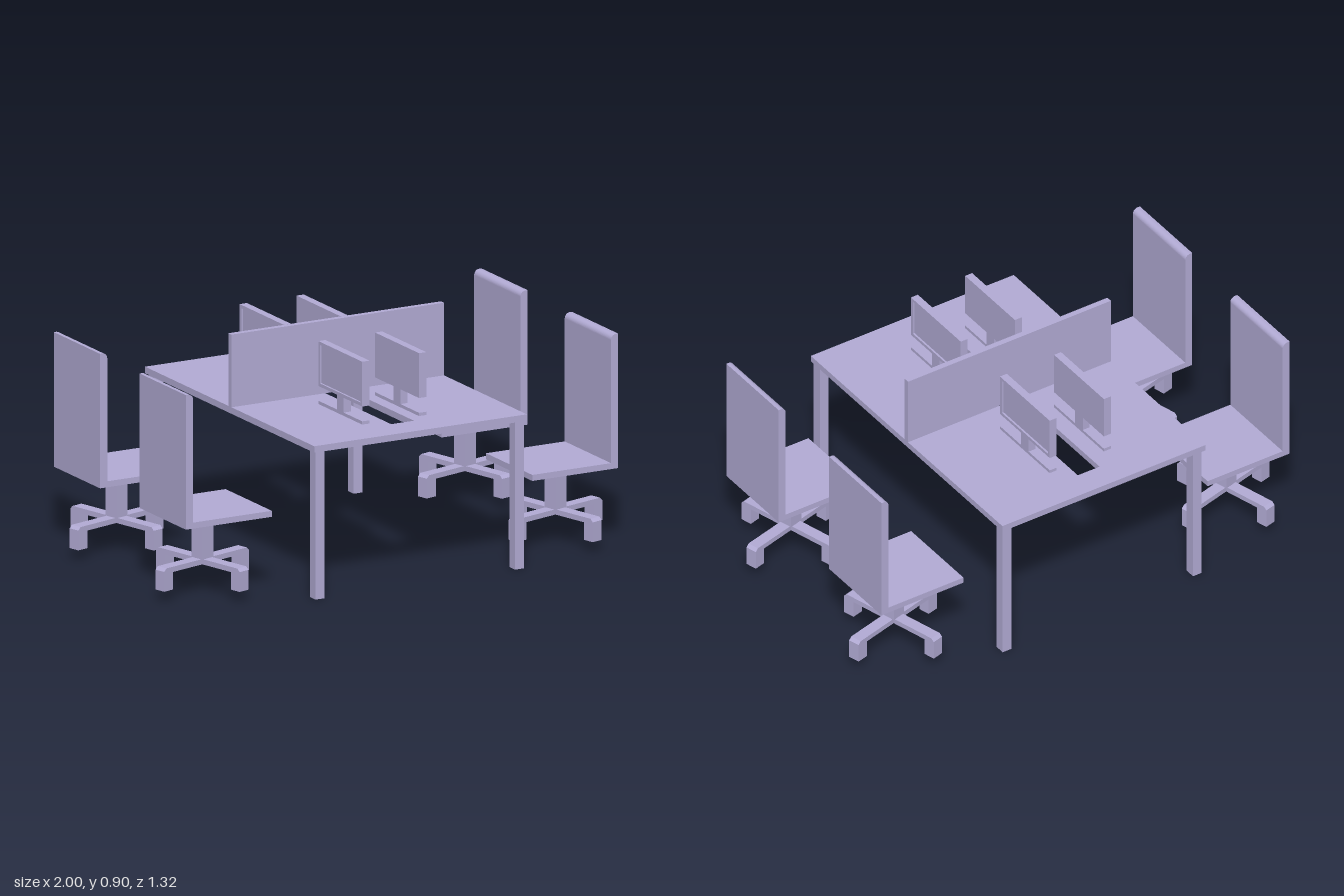
import * as THREE from 'three';

const material = new THREE.MeshStandardMaterial({ color: 0xb3acd6, flatShading: true });

function addMesh(parent, name, geometry, x = 0, y = 0, z = 0) {
  const mesh = new THREE.Mesh(geometry, material);
  mesh.name = name;
  mesh.position.set(x, y, z);
  parent.add(mesh);
  return mesh;
}

// Box given by its minimum and maximum on each axis
function addBox(parent, name, [x0, x1], [y0, y1], [z0, z1]) {
  return addMesh(parent, name, new THREE.BoxGeometry(x1 - x0, y1 - y0, z1 - z0),
    (x0 + x1) / 2, (y0 + y1) / 2, (z0 + z1) / 2);
}

const polygon = (points) => points.map(([x, y]) => new THREE.Vector2(x, y));
const rectangle = (x0, x1, y0, y1) => polygon([[x0, y0], [x1, y0], [x1, y1], [x0, y1]]);

// Outline in xy, extruded along z and centred on z = 0
function extrude(points, depth, hole) {
  const shape = new THREE.Shape(points);
  if (hole) shape.holes.push(new THREE.Path(hole));
  return new THREE.ExtrudeGeometry(shape, { depth, bevelEnabled: false, curveSegments: 6 })
    .translate(0, 0, -depth / 2);
}

function createTable() {
  const table = new THREE.Group();
  table.name = 'table';

  // Top with a long cable slot; shape y becomes -z
  const top = extrude(rectangle(-0.47, 0.47, -0.662, 0.662), 0.026,
    rectangle(-0.055, 0.046, -0.529, 0.551)).rotateX(-Math.PI / 2);
  addMesh(table, 'tableTop', top, 0, 0.602, 0);

  for (const x of [-0.441, 0.441]) {
    for (const z of [-0.629, 0.634]) {
      addBox(table, 'tableLeg', [x - 0.02, x + 0.02], [0, 0.589], [z - 0.022, z + 0.022]);
    }
  }
  addBox(table, 'divider', [-0.47, 0.47], [0.615, 0.905], [-0.01, 0.014]);
  return table;
}

// Monitor with its screen facing +x
function createMonitor() {
  const monitor = new THREE.Group();
  monitor.name = 'monitor';
  const w = 0.172, t = 0.016, rim = 0.013;
  addBox(monitor, 'monitorBase', [-t, t], [0.615, 0.628], [-w, w]);
  addBox(monitor, 'monitorStem', [-t, t], [0.628, 0.687], [-0.026, 0.026]);
  addBox(monitor, 'screen', [-t, t - 0.008], [0.687, 0.866], [-w, w]);
  const frame = extrude(rectangle(-w, w, 0.687, 0.866), 0.008,
    rectangle(-w + rim, w - rim, 0.687 + rim, 0.866 - rim)).rotateY(Math.PI / 2);
  addMesh(monitor, 'screenFrame', frame, t - 0.004, 0, 0);
  return monitor;
}

// Chair facing +x, centred on its column
function createChair() {
  const chair = new THREE.Group();
  chair.name = 'chair';
  const back = -0.175, thick = 0.032;
  addBox(chair, 'seat', [back + thick, 0.205], [0.308, 0.332], [-0.181, 0.181]);

  // Backrest with its front top edge rounded
  const outline = new THREE.Shape();
  outline.moveTo(back, 0.308);
  outline.lineTo(back + thick, 0.308);
  outline.lineTo(back + thick, 0.823);
  outline.absarc(back + thick - 0.022, 0.823, 0.022, 0, Math.PI / 2);
  outline.lineTo(back, 0.845);
  addMesh(chair, 'backrest', extrude(outline.getPoints(6), 0.362));

  // Column and four-armed foot, turned a little
  const foot = new THREE.Group();
  foot.name = 'chairFoot';
  foot.rotation.y = THREE.MathUtils.degToRad(15);
  chair.add(foot);
  addBox(foot, 'column', [-0.03, 0.03], [0.133, 0.308], [-0.03, 0.03]);
  const r = 0.229, d = 0.048, c = 0.012;
  const bar = polygon([
    [-r, 0.042], [-r + d, 0.042], [-r + d, 0.112], [r - d, 0.112], [r - d, 0.042], [r, 0.042],
    [r, 0.133 - c], [r - c, 0.133], [-r + c, 0.133], [-r, 0.133 - c],
  ]);
  for (const angle of [0, Math.PI / 2]) {
    addMesh(foot, 'footBar', extrude(bar, d)).rotation.y = angle;
  }
  return chair;
}

export function createModel() {
  const model = new THREE.Group();
  model.name = 'fourSeatWorkstation';
  model.add(createTable());

  // Monitors face outwards, towards the chairs
  for (const [x, turn] of [[-0.139, Math.PI], [0.112, 0]]) {
    for (const z of [-0.307, 0.308]) {
      const monitor = createMonitor();
      monitor.position.set(x, 0, z);
      monitor.rotation.y = turn;
      model.add(monitor);
    }
  }

  // Chairs face the table
  const places = [[-0.765, -0.363], [-0.772, 0.321], [0.772, -0.357], [0.766, 0.362]];
  for (const [x, z] of places) {
    const chair = createChair();
    chair.position.set(x, 0, z);
    chair.rotation.y = x > 0 ? Math.PI : 0;
    model.add(chair);
  }
  return model;
}
